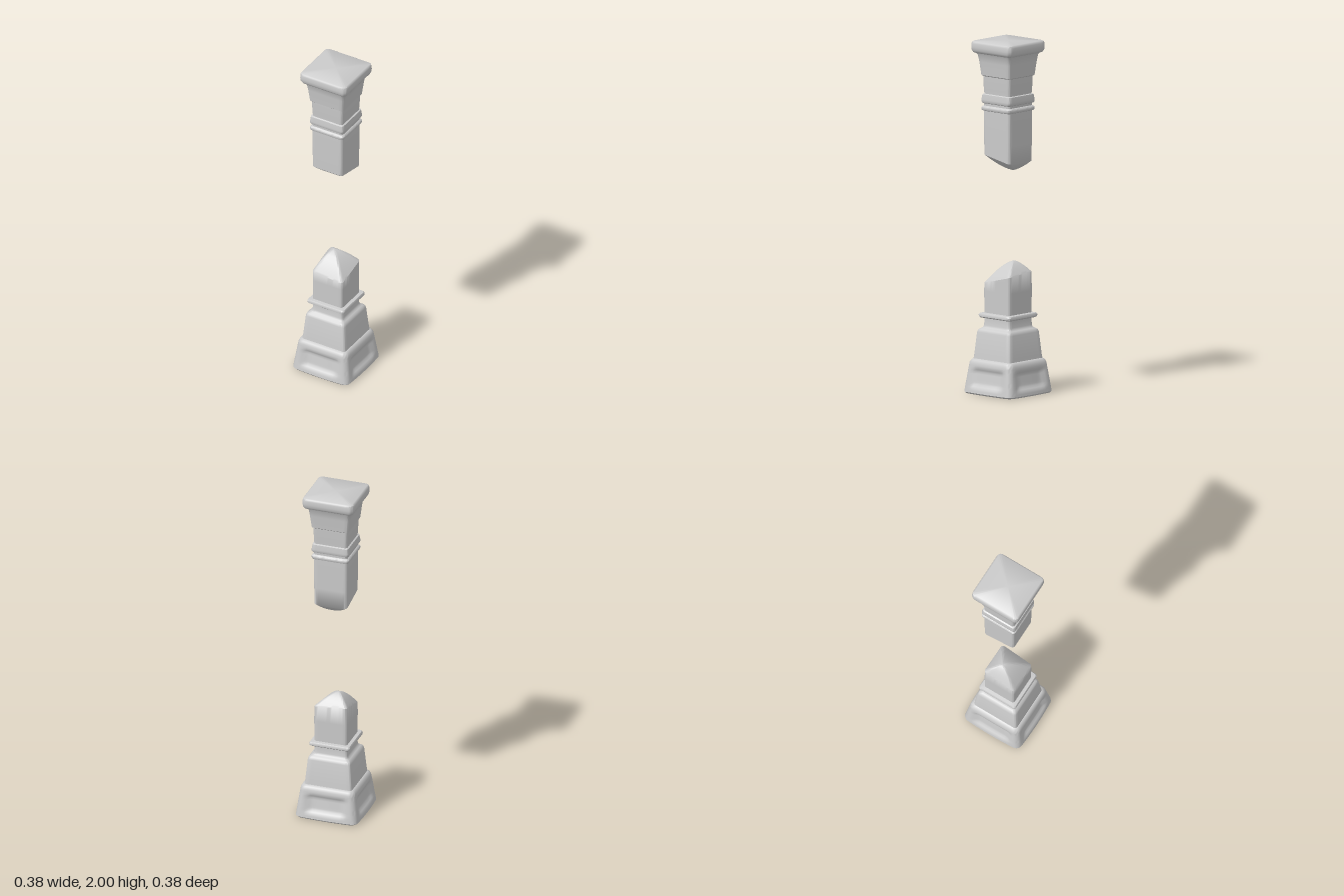
import * as THREE from 'three';
import { toCreasedNormals } from 'three/addons/utils/BufferGeometryUtils.js';

const SIDE = 14, ARC = 5;
const material = new THREE.MeshStandardMaterial({ color: 0xcccccc, roughness: 0.8 });

// Rounded-square ring of half width h at height y with corner radius r
function ring(h, y, r = 0.015) {
  const pts = [], c = Math.max(h - r, 0);
  for (let k = 0; k < 4; k++) {
    const add = (u, v) => {
      const a = (k * Math.PI) / 2;
      pts.push(new THREE.Vector3(u * Math.cos(a) - v * Math.sin(a), y, u * Math.sin(a) + v * Math.cos(a)));
    };
    for (let i = 0; i < SIDE; i++) add(h, c * ((2 * i) / SIDE - 1));
    for (let i = 0; i < ARC; i++) {
      const t = (i / ARC) * Math.PI / 2;
      add(c + r * Math.cos(t), c + r * Math.sin(t));
    }
  }
  return pts;
}

// Rings running from the end of a shaft to its off-centre broken tip
function brokenTip(h, r, tip, edgeY) {
  const rings = [];
  for (let i = 0; i <= 9; i++) {
    const s = Math.cos((i / 9) * Math.PI / 2);
    rings.push(ring(h, 0, r).map((p) => {
      const e = edgeY(p.x, p.z);
      return new THREE.Vector3(
        tip.x + (p.x - tip.x) * s,
        e + (tip.y - e) * (1 - Math.pow(s, 1.5)),
        tip.z + (p.z - tip.z) * s);
    }));
  }
  return rings;
}

// Skin a list of rings ordered from bottom to top
function loft(name, rings, crease = 0.7) {
  const n = rings[0].length, index = [];
  for (let i = 0; i < rings.length - 1; i++) {
    for (let j = 0; j < n; j++) {
      const a = i * n + j, b = i * n + ((j + 1) % n);
      index.push(b, a, a + n, b, a + n, b + n);
    }
  }
  const geo = new THREE.BufferGeometry().setFromPoints(rings.flat());
  geo.setIndex(index);
  const mesh = new THREE.Mesh(toCreasedNormals(geo, crease), material);
  mesh.name = name;
  return mesh;
}

const profile = (rows) => rows.map(([h, y, r]) => ring(h, y, r));

// Flared plinth with worn, bulging sides and a sunken panel on each face
function plinth() {
  const rows = [[0, 0, 0], [0.175, 0, 0.03], [0.182, 0.008, 0.03]];
  for (let i = 1; i <= 14; i++) rows.push([0.182 - 0.0015 * i, 0.008 + 0.0118 * i, 0.03]);
  rows.push([0.155, 0.188, 0.03], [0.145, 0.196, 0.025], [0.13, 0.198, 0.02], [0, 0.198, 0]);
  const rings = profile(rows);
  const step = THREE.MathUtils.smoothstep;
  for (const p of rings.flat()) {
    const along = Math.min(Math.abs(p.x), Math.abs(p.z));
    const out = Math.max(Math.abs(p.x), Math.abs(p.z));
    if (out < 0.14) continue;
    const bulge = 0.008 * (1 - (along / 0.18) ** 2) * (1 - p.y / 0.2);
    const panel = 0.016 * (1 - step(along, 0.09, 0.13)) * step(p.y, 0.03, 0.06) * (1 - step(p.y, 0.125, 0.155));
    const k = 1 + (bulge - panel) / out;
    if (Math.abs(p.x) > Math.abs(p.z)) p.x *= k; else p.z *= k;
  }
  return loft('plinth', rings);
}

export function createModel() {
  const model = new THREE.Group();
  model.name = 'brokenPillar';

  // Standing lower half
  const lower = new THREE.Group();
  lower.name = 'lowerPillar';
  lower.add(plinth());
  lower.add(loft('lowerShaft', [
    ...profile([
      [0.142, 0.19], [0.139, 0.21], [0.127, 0.345], [0.122, 0.36], [0.112, 0.367],
      [0.103, 0.373], [0.099, 0.385], [0.098, 0.425], [0.098, 0.46], [0.099, 0.58],
    ]),
    ...brokenTip(0.099, 0.018, new THREE.Vector3(-0.025, 0.75, -0.02), (x, z) => 0.655 - 0.25 * z - 0.08 * x),
  ]));
  lower.add(loft('lowerCollar', profile([
    [0.09, 0.426], [0.113, 0.428], [0.12, 0.434], [0.121, 0.445], [0.116, 0.453], [0.09, 0.457],
  ])));

  // Hanging upper half
  const upper = new THREE.Group();
  upper.name = 'upperPillar';
  upper.add(loft('upperShaft', [
    ...brokenTip(0.098, 0.018, new THREE.Vector3(0, 1.268, -0.04), (x, z) => 1.335 + 0.2 * z).reverse(),
    ...profile([
      [0.099, 1.42], [0.1, 1.6], [0.098, 1.7], [0.1, 1.72], [0.103, 1.81],
    ]),
  ]));
  // Twin bands around the shaft
  for (const [y0, y1] of [[1.6, 1.633], [1.643, 1.7]]) {
    upper.add(loft('band', profile([
      [0.095, y0], [0.107, y0 + 0.006], [0.11, y0 + 0.013],
      [0.11, y0 + 0.024], [0.106, y1 - 0.004], [0.098, y1],
    ])));
  }
  // Flared neck below the capital
  upper.add(loft('neck', profile([
    [0, 1.8, 0], [0.104, 1.8], [0.11, 1.805], [0.118, 1.88], [0.124, 1.92], [0.132, 1.932], [0.135, 1.94],
  ])));
  // Rounded capital slab
  upper.add(loft('capital', profile([
    [0, 1.93, 0], [0.13, 1.93, 0.02], [0.144, 1.936, 0.022], [0.151, 1.948, 0.025], [0.153, 1.965, 0.025],
    [0.152, 1.985, 0.025], [0.149, 1.995, 0.022], [0.142, 2, 0.02], [0, 2, 0],
  ])));

  model.add(lower, upper);
  return model;
}
